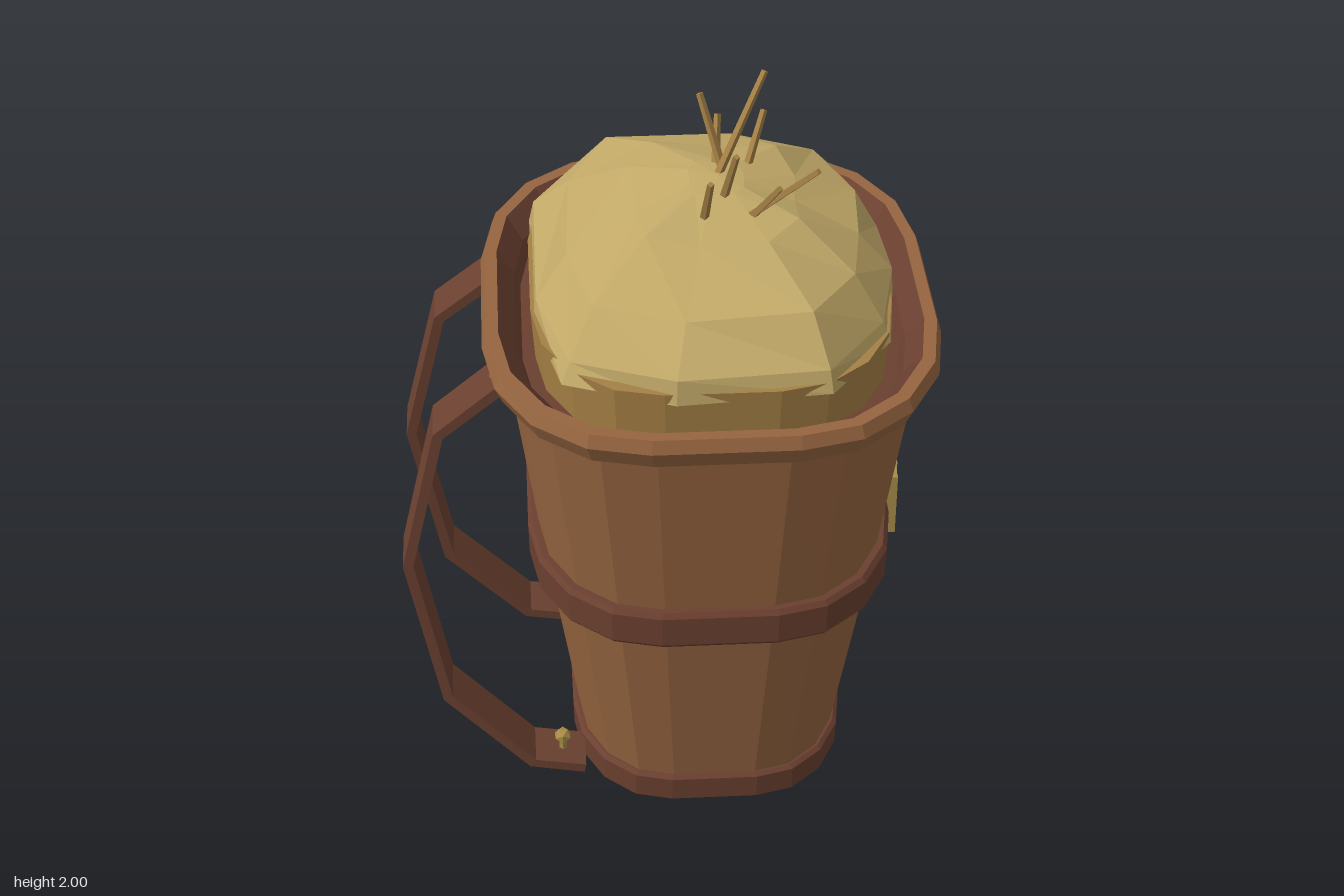
import * as THREE from 'three';

const CX = 0.115; // the basket sits off centre because of the shoulder straps

function mat(name, color) {
  const m = new THREE.MeshStandardMaterial({ color, flatShading: true });
  m.name = name;
  return m;
}

// Rounded rectangle ring with five points per corner
function ring(hx, hz, y) {
  const pts = [], sx = 0.31 * hx, sz = 0.3 * hz;
  for (let q = 0; q < 4; q++) {
    const mx = q === 0 || q === 3 ? 1 : -1, mz = q < 2 ? 1 : -1;
    for (let k = 0; k < 5; k++) {
      const a = (q + k / 4) * Math.PI / 2;
      pts.push(new THREE.Vector3(
        CX + mx * sx + Math.cos(a) * (hx - sx), y, mz * sz + Math.sin(a) * (hz - sz)));
    }
  }
  return pts;
}

// Skin between successive rings; each ring is a closed loop of points
function loft(rings) {
  const pos = [];
  const n = rings[0].length;
  const tri = (a, b, c) => {
    const area = b.clone().sub(a).cross(c.clone().sub(a)).length();
    if (area > 1e-8) for (const p of [a, b, c]) pos.push(p.x, p.y, p.z);
  };
  for (let r = 0; r + 1 < rings.length; r++) {
    const lo = rings[r], hi = rings[r + 1];
    for (let i = 0; i < n; i++) {
      const j = (i + 1) % n;
      tri(lo[i], hi[i], hi[j]);
      tri(lo[i], hi[j], lo[j]);
    }
  }
  const g = new THREE.BufferGeometry();
  g.setAttribute('position', new THREE.Float32BufferAttribute(pos, 3));
  g.computeVertexNormals();
  return g;
}

export function createModel() {
  const model = new THREE.Group();
  model.name = 'strawBasket';
  const leather = mat('tanLeather', 0x966540);
  const strap = mat('brownStrap', 0x6b4030);
  const dark = mat('darkBase', 0x3c261b);
  const straw = mat('straw', 0xc2a968);
  const strawDark = mat('darkStraw', 0xa58045);
  const brass = mat('brass', 0xa88c48);
  const pale = mat('paleBrass', 0xbcae78);

  const add = (name, geometry, material, parent = model) => {
    const m = new THREE.Mesh(geometry, material);
    m.name = name;
    parent.add(m);
    return m;
  };
  const shell = (name, material, profile) =>
    add(name, loft(profile.map(([hx, hz, y]) => ring(hx, hz, y))), material);

  // Basket body, base, rim and belt
  shell('body', leather, [[0.352, 0.462, 0.05], [0.45, 0.562, 0.7], [0.54, 0.653, 1.36]]);
  shell('baseSole', dark, [[0, 0, 0], [0.34, 0.445, 0], [0.378, 0.483, 0.036]]);
  shell('baseBand', strap, [[0.378, 0.483, 0.036], [0.38, 0.486, 0.108], [0.37, 0.476, 0.118], [0.35, 0.456, 0.118]]);
  shell('rim', leather, [[0.5, 0.61, 1.335], [0.572, 0.685, 1.335], [0.594, 0.706, 1.385],
    [0.582, 0.694, 1.42], [0.55, 0.662, 1.42]]);
  shell('rimInside', strap, [[0.55, 0.662, 1.42], [0.505, 0.608, 1.36], [0.49, 0.595, 1.32], [0, 0, 1.32]]);
  shell('belt', strap, [[0.43, 0.54, 0.677], [0.48, 0.588, 0.677], [0.489, 0.598, 0.69],
    [0.491, 0.6, 0.778], [0.48, 0.59, 0.792], [0.44, 0.55, 0.792]]);

  // Straw filling: a flat layer with an uneven faceted mound over it
  shell('strawLayer', strawDark, [[0.455, 0.56, 1.3], [0.466, 0.572, 1.468], [0, 0, 1.468]]);
  const outline = [[0.595, 0.09], [0.56, 0.33], [0.39, 0.55], [0, 0.58], [-0.28, 0.47], [-0.345, 0.18],
    [-0.345, -0.32], [-0.19, -0.555], [0.23, -0.57], [0.51, -0.48], [0.597, -0.15]];
  const levels = [[1, 1.44], [0.97, 1.5], [0.8, 1.61], [0.45, 1.7], [0.15, 1.743], [0, 1.752]];
  add('strawMound', loft(levels.map(([s, y], k) => outline.map(([x, z], i) => {
    const wobble = k > 0 && k < 4 ? Math.sin(i * 2.3 + k * 1.7) * 0.02 : 0;
    return new THREE.Vector3(0.14 + (x - 0.14) * (s + wobble), y + wobble * 0.5, z * (s + wobble));
  }))), straw);

  // Loose stalks: base and tip
  const stalks = [
    [0.14, 1.735, -0.015, 0.265, 2.0, -0.09],
    [0.16, 1.73, -0.05, 0.1, 1.93, -0.11],
    [0.14, 1.72, -0.07, 0.15, 1.85, -0.145],
    [0.22, 1.71, -0.08, 0.27, 1.86, -0.14],
    [0.15, 1.73, 0.08, 0.175, 1.89, 0.15],
    [0.095, 1.71, 0.15, 0.105, 1.86, 0.23],
    [0.21, 1.71, 0.14, 0.37, 1.9, 0.25],
    [0.21, 1.7, 0.14, 0.28, 1.83, 0.21],
  ];
  const up = new THREE.Vector3(0, 1, 0);
  for (const s of stalks) {
    const a = new THREE.Vector3(...s.slice(0, 3)), b = new THREE.Vector3(...s.slice(3));
    const d = b.clone().sub(a);
    const m = add('stalk', new THREE.CylinderGeometry(0.009, 0.012, d.length(), 4), strawDark);
    m.position.copy(a).add(b).multiplyScalar(0.5);
    m.quaternion.setFromUnitVectors(up, d.normalize());
  }

  // Buckle on the belt's left side
  const buckle = new THREE.Group();
  buckle.name = 'buckle';
  buckle.position.set(0.613, 0.733, 0);
  buckle.rotation.y = Math.PI / 2;
  model.add(buckle);
  const rect = (P, w, h) => {
    const p = new P();
    p.moveTo(-w, -h);
    p.lineTo(w, -h);
    p.lineTo(w, h);
    p.lineTo(-w, h);
    p.closePath();
    return p;
  };
  const frame = rect(THREE.Shape, 0.088, 0.095);
  frame.holes.push(rect(THREE.Path, 0.06, 0.062));
  add('buckleFrame', new THREE.ExtrudeGeometry(frame, { depth: 0.028, bevelEnabled: false }), brass, buckle);
  add('bucklePost', new THREE.BoxGeometry(0.034, 0.13, 0.02), brass, buckle).position.z = 0.014;
  add('buckleProng', new THREE.BoxGeometry(0.014, 0.17, 0.022), pale, buckle).position.z = 0.026;

  // Shoulder straps: rectangular sections along a bent path [x, y, z]
  const path = [[-0.42, 1.345, 0.265], [-0.6, 1.2, 0.275], [-0.696, 0.8, 0.3],
    [-0.61, 0.35, 0.315], [-0.385, 0.11, 0.328], [-0.24, 0.085, 0.33]];
  for (const side of [1, -1]) {
    const sections = path.map(([x, y, z], i) => {
      const p = path[Math.max(i - 1, 0)], q = path[Math.min(i + 1, path.length - 1)];
      const t = new THREE.Vector2(q[0] - p[0], q[1] - p[1]).normalize();
      return [[1, 1], [-1, 1], [-1, -1], [1, -1]].map(([u, v]) => new THREE.Vector3(
        x - t.y * u * 0.014, y + t.x * u * 0.014, side * z + v * 0.068));
    });
    const cap = (s) => {
      const c = s[0].clone().add(s[2]).multiplyScalar(0.5);
      return s.map(() => c);
    };
    const g = loft([cap(sections[0]), ...sections, cap(sections[sections.length - 1])].reverse());
    add(side > 0 ? 'leftShoulderStrap' : 'rightShoulderStrap', g, strap);

    // Rivets at both strap ends
    for (const [x, y, z] of [[-0.45, 1.29, 0.265], [-0.3, 0.15, 0.33]]) {
      add('rivetHead', new THREE.IcosahedronGeometry(0.025, 0), brass).position.set(x, y, side * z);
      add('rivetStem', new THREE.CylinderGeometry(0.012, 0.012, 0.06, 6), brass)
        .position.set(x, y + (y > 1 ? 0.025 : -0.035), side * z);
    }
  }
  // Close the strap skins from either winding
  strap.side = THREE.DoubleSide;
  return model;
}
